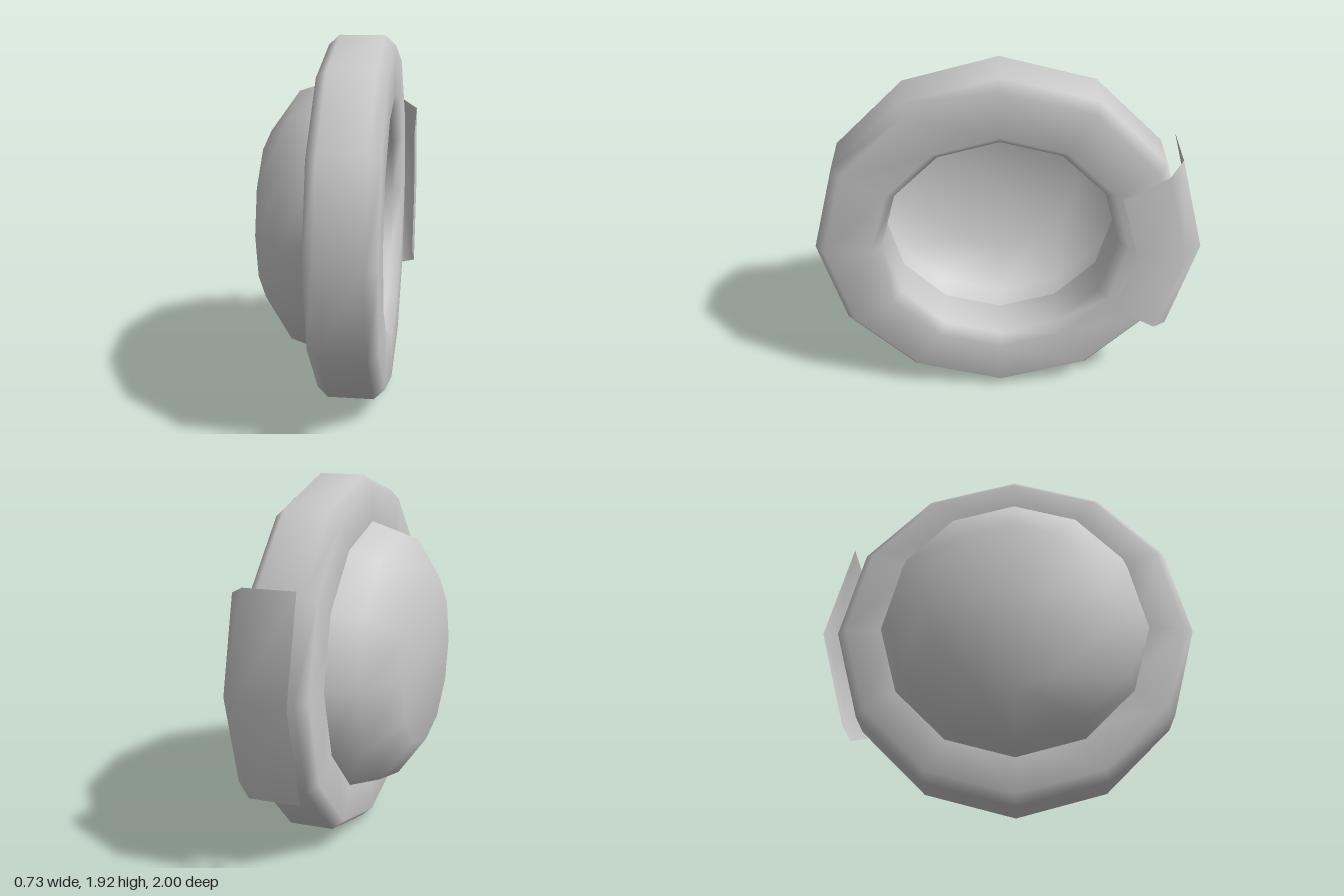
import * as THREE from 'three';
import { mergeVertices } from 'three/addons/utils/BufferGeometryUtils.js';

const SIDES = 12;

// Revolve a [radius, x] profile about the x axis, with area-weighted smooth normals
function revolve(name, profile, material, segments = SIDES, start = 0, length = Math.PI * 2) {
  const points = profile.map(([r, x]) => new THREE.Vector2(r, x));
  const lathe = new THREE.LatheGeometry(points, segments, start, length);
  lathe.deleteAttribute('normal');
  lathe.deleteAttribute('uv');
  const geometry = mergeVertices(lathe, 1e-4);
  geometry.rotateZ(-Math.PI / 2);
  geometry.computeVertexNormals();
  const mesh = new THREE.Mesh(geometry, material);
  mesh.name = name;
  return mesh;
}

export function createModel() {
  const solid = new THREE.MeshStandardMaterial({ color: 0xcccccc });
  const sheet = new THREE.MeshStandardMaterial({ color: 0xcccccc, side: THREE.DoubleSide });
  const group = new THREE.Group();
  group.name = 'wheel';

  // Chamfered ring with a closed section
  group.add(revolve('ring', [
    [0.615, 0], [0.665, -0.055], [0.91, -0.055], [0.96, 0],
    [0.96, 0.235], [0.91, 0.29], [0.665, 0.29], [0.615, 0.235], [0.615, 0],
  ], solid));

  // Thin hollow bowl behind the ring
  group.add(revolve('bowl', [
    [0, -0.365], [0.455, -0.365], [0.67, -0.21], [0.725, -0.04],
  ], sheet));

  // Open bent cover over one sixth of the ring, at the back
  group.add(revolve('cover', [
    [1.04, 0], [1.04, 0.27], [0.95, 0.36], [0.7, 0.36],
  ], sheet, 2, Math.PI * 5 / 6, Math.PI / 3));

  group.position.set(0, 0.962, 0.04);
  const model = new THREE.Group();
  model.add(group);
  return model;
}
